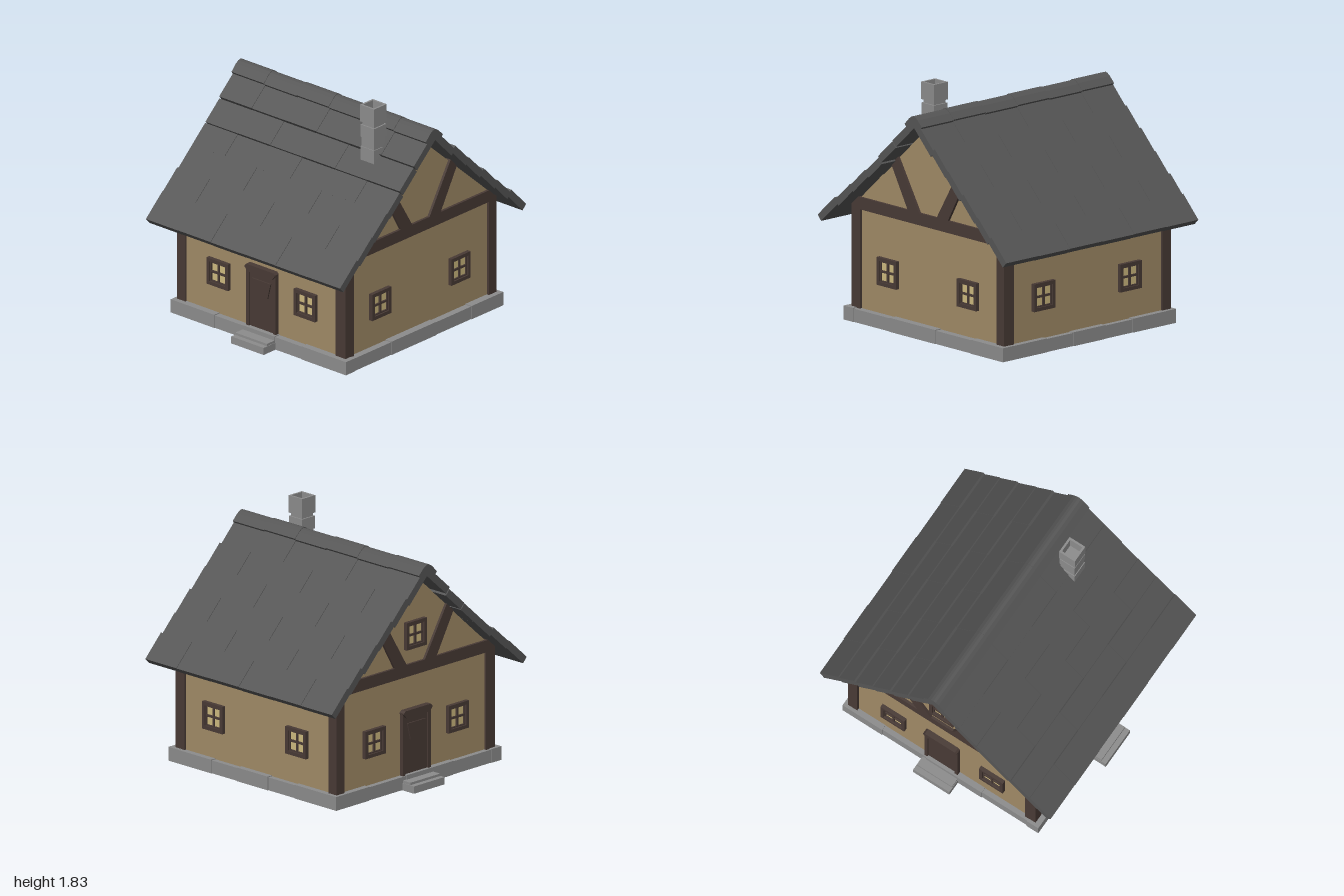
import * as THREE from 'three';

const mat = (name, color) => Object.assign(new THREE.MeshStandardMaterial({ color }), { name });

export function createModel() {
  const slate = mat('slate', 0x555555);
  const stone = mat('stone', 0x8c8c8c);
  const plaster = mat('plaster', 0xa08a66);
  const wood = mat('darkWood', 0x483a35);
  const glass = mat('glass', 0xcdb97f);

  const house = new THREE.Group();
  house.name = 'cottage';

  const add = (parent, name, geo, material, x = 0, y = 0, z = 0) => {
    const m = new THREE.Mesh(geo, material);
    m.name = name;
    m.position.set(x, y, z);
    parent.add(m);
    return m;
  };
  // box from its limits
  const block = (parent, name, material, x0, x1, y0, y1, z0, z1) =>
    add(parent, name, new THREE.BoxGeometry(x1 - x0, y1 - y0, z1 - z0), material,
      (x0 + x1) / 2, (y0 + y1) / 2, (z0 + z1) / 2);
  const poly = (pts) => new THREE.Shape(pts.map(([a, b]) => new THREE.Vector2(a, b)));
  const extrude = (shape, depth) => new THREE.ExtrudeGeometry(shape, { depth, bevelEnabled: false });
  // profile given as (z, y), extruded along x from x0 to x1
  const alongX = (name, material, pts, x0, x1) => {
    const geo = extrude(poly(pts.map(([z, y]) => [-z, y])), x1 - x0);
    geo.rotateY(Math.PI / 2);
    return add(house, name, geo, material, x0);
  };
  const square = (h) => [[-h, -h], [h, -h], [h, h], [-h, h]];

  // Foundation core with a rim of separate stones
  block(house, 'foundation', stone, -0.82, 0.83, 0, 0.098, -0.84, 0.81);
  const zCuts = [-0.86, -0.52, -0.14, 0.34, 0.83];
  const xCuts = [-0.84, -0.42, -0.15, 0.16, 0.42, 0.85];
  for (let i = 0; i < 4; i++) {
    const d = (i % 2) * 0.006;
    for (const [a, b] of [[-0.84 + d, -0.74], [0.74, 0.85 - d]])
      block(house, 'foundationStone', stone, a, b, 0.002, 0.106 - d, zCuts[i], zCuts[i + 1]);
  }
  for (let i = 0; i < 5; i++) {
    const d = (i % 2) * 0.006;
    for (const [a, b] of [[-0.86 + d, -0.76], [0.73, 0.83 - d]])
      block(house, 'foundationStone', stone, xCuts[i], xCuts[i + 1], 0.002, 0.105 - d, a, b);
  }

  // Walls with both gables in one solid
  alongX('walls', plaster,
    [[0.775, 0.09], [0.775, 0.86], [-0.01, 1.575], [-0.815, 0.87], [-0.815, 0.09]], -0.795, 0.79);

  // Timber frame
  for (const [x0, x1] of [[-0.815, -0.735], [0.715, 0.81]])
    for (const [z0, z1] of [[-0.83, -0.75], [0.7, 0.79]])
      block(house, 'cornerPost', wood, x0, x1, 0.1, 0.86, z0, z1);
  for (const [x0, x1] of [[-0.815, -0.77], [0.765, 0.81]]) {
    alongX('gableBeam', wood,
      [[0.79, 0.835], [0.79, 0.86], [0.72, 0.925], [-0.76, 0.925], [-0.83, 0.87], [-0.83, 0.835]], x0, x1);
    for (const s of [1, -1])
      alongX('gableBrace', wood,
        [[0.09, 0.92], [0.21, 0.92], [0.385, 1.23], [0.32, 1.3]].map(([z, y]) => [s * z - 0.02, y]), x0, x1);
  }

  // A group fixed to a wall: local +z points outwards
  const onWall = (name, x, y, z, turn) => {
    const g = new THREE.Group();
    g.name = name;
    g.position.set(x, y, z);
    g.rotation.y = turn * Math.PI / 2;
    house.add(g);
    return g;
  };

  // Windows: frame, cross bars and pane
  const frameShape = poly(square(0.103));
  frameShape.holes.push(poly(square(0.077)));
  const frameGeo = extrude(frameShape, 0.04);
  const windowAt = (...place) => {
    const g = onWall('window', ...place);
    add(g, 'windowFrame', frameGeo, wood, 0, 0, -0.01);
    block(g, 'windowPane', glass, -0.08, 0.08, -0.08, 0.08, 0, 0.006);
    block(g, 'windowBar', wood, -0.008, 0.008, -0.08, 0.08, 0, 0.018);
    block(g, 'windowBar', wood, -0.08, 0.08, -0.008, 0.008, 0, 0.018);
    for (const s of [-1, 1]) {
      block(g, 'windowLining', wood, s * 0.074 - 0.006, s * 0.074 + 0.006, -0.08, 0.08, 0, 0.018);
      block(g, 'windowLining', wood, -0.08, 0.08, s * 0.074 - 0.006, s * 0.074 + 0.006, 0, 0.018);
    }
  };
  for (const x of [-0.415, 0.425]) {
    windowAt(x, 0.417, 0.775, 0);
    windowAt(x, 0.417, -0.815, 2);
  }
  for (const z of [-0.44, 0.41]) {
    windowAt(0.79, 0.417, z, 1);
    windowAt(-0.795, 0.417, z, -1);
  }
  windowAt(-0.795, 1.14, -0.02, -1);

  // Doors with jambs, header, raised panel and two steps
  const doorAt = (stepOut, ...place) => {
    const g = onWall('door', ...place);
    block(g, 'doorLeaf', wood, -0.12, 0.12, 0.1, 0.56, -0.01, 0.018);
    for (const s of [-1, 1])
      block(g, 'doorJamb', wood, s * 0.129 - 0.014, s * 0.129 + 0.014, 0.1, 0.57, -0.01, 0.03);
    add(g, 'doorHeader', extrude(poly(
      [[-0.12, 0.535], [0.12, 0.535], [0.145, 0.565], [0.145, 0.575], [0.13, 0.59],
        [-0.13, 0.59], [-0.145, 0.575], [-0.145, 0.565]]), 0.055), wood, 0, 0, -0.01);
    add(g, 'doorPanel', extrude(poly(
      [[-0.06, 0.36], [0.06, 0.36], [0.09, 0.485], [-0.09, 0.485]]), 0.012), wood, 0, 0, 0.016);
    block(g, 'upperStep', stone, -0.152, 0.152, 0.003, 0.073, 0.02, stepOut - 0.04);
    block(g, 'lowerStep', stone, -0.156, 0.156, 0, 0.055, 0.02, stepOut);
  };
  doorAt(0.175, 0.0075, 0, 0.775, 0);
  doorAt(0.155, -0.795, 0, -0.02, -1);

  // Roof: rows of slabs, each row given by its upper and lower edge (z, y)
  const thick = 0.055, cols = 6, colW = 0.3125, roofX = -0.93;
  const slope = (name, rows, angle, side) => {
    for (let r = 0; r < rows.length - 1; r++) {
      const [za, ya] = rows[r], [zb, yb] = rows[r + 1];
      const geo = new THREE.BoxGeometry(colW, thick, Math.abs(zb - za) / Math.cos(angle));
      for (let c = 0; c < cols; c++) {
        const drop = thick / 2 + ((r + c) % 2) * 0.004;
        const tile = add(house, name, geo, slate, roofX + (c + 0.5) * colW,
          (ya + yb) / 2 - drop * Math.cos(angle), (za + zb) / 2 - side * drop * Math.sin(angle));
        tile.rotation.x = side * angle;
      }
    }
  };
  slope('frontRoofSlab', [[0.01, 1.65], [0.21, 1.46], [0.36, 1.31], [0.5, 1.18],
    [0.66, 1.05], [0.82, 0.92], [1, 0.77]], Math.atan(0.9), 1);
  slope('backRoofSlab', [[-0.03, 1.655], [-0.24, 1.475], [-0.39, 1.335], [-0.545, 1.195],
    [-0.7, 1.055], [-0.84, 0.93], [-1, 0.79]], Math.atan(1.02), -1);

  // Ridge caps
  for (let c = 0; c < cols; c++) {
    const d = (c % 2) * 0.005;
    alongX('ridgeCap', slate,
      [[0.078, 1.615], [0.03, 1.665], [0.005, 1.682], [-0.015, 1.688], [-0.035, 1.682], [-0.06, 1.665],
        [-0.105, 1.62], [-0.07, 1.575], [-0.015, 1.61], [0.04, 1.57]].map(([z, y]) => [z, y - d]),
      roofX + c * colW, roofX + (c + 1) * colW);
  }

  // Chimney: stacked stones and a hollow top
  for (const [h, y0, y1] of [[0.066, 1.39, 1.505], [0.06, 1.505, 1.58], [0.066, 1.58, 1.675], [0.055, 1.675, 1.71]])
    block(house, 'chimneyStone', stone, 0.545 - h, 0.545 + h, y0, y1, 0.196 - h, 0.196 + h);
  const ring = poly(square(0.068));
  ring.holes.push(poly(square(0.052)));
  add(house, 'chimneyTop', extrude(ring, 0.13).rotateX(-Math.PI / 2), stone, 0.545, 1.7, 0.196);

  return house;
}
